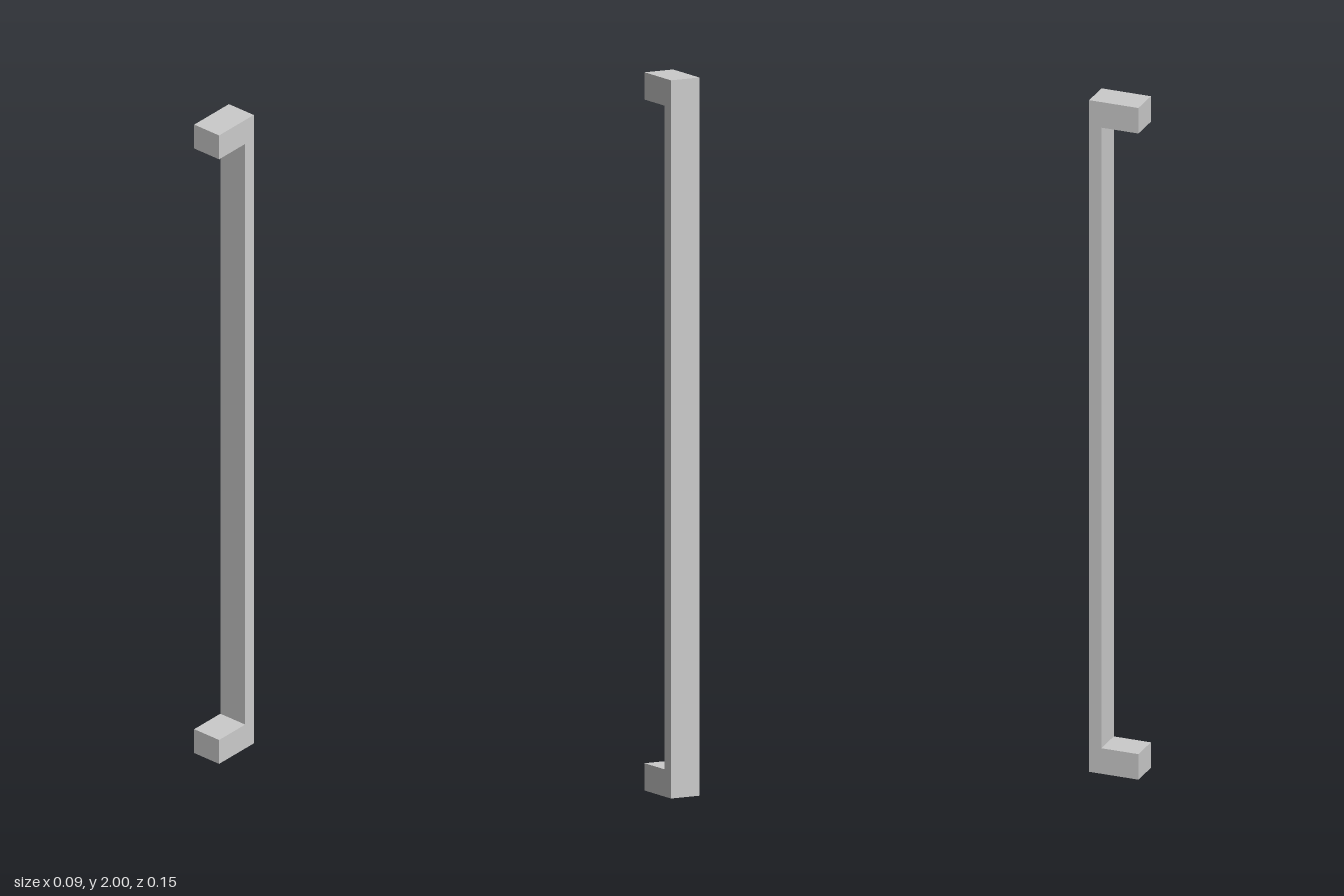
import * as THREE from 'three';

const HEIGHT = 2;
const WIDTH = 0.09;
const FRONT = 0.073;   // z of the mounting faces
const BACK = -0.073;   // z of the outer grip face
const INNER = -0.037;  // z of the inner grip face
const FOOT = 0.076;    // height of each end foot

export function createModel() {
  const group = new THREE.Group();
  group.name = 'pullHandle';

  // C-shaped side profile (z, y): a long flat grip with a foot at each end
  const profile = new THREE.Shape([
    [BACK, 0], [FRONT, 0], [FRONT, FOOT], [INNER, FOOT],
    [INNER, HEIGHT - FOOT], [FRONT, HEIGHT - FOOT], [FRONT, HEIGHT], [BACK, HEIGHT],
  ].map(([z, y]) => new THREE.Vector2(z, y)));

  // Extrude across the width, then turn the profile to run along z
  const geometry = new THREE.ExtrudeGeometry(profile, { depth: WIDTH, bevelEnabled: false });
  geometry.translate(0, 0, -WIDTH / 2);
  geometry.rotateY(-Math.PI / 2);

  const handle = new THREE.Mesh(geometry, new THREE.MeshStandardMaterial({ color: 0xcccccc }));
  handle.name = 'gripWithFeet';
  group.add(handle);
  return group;
}
